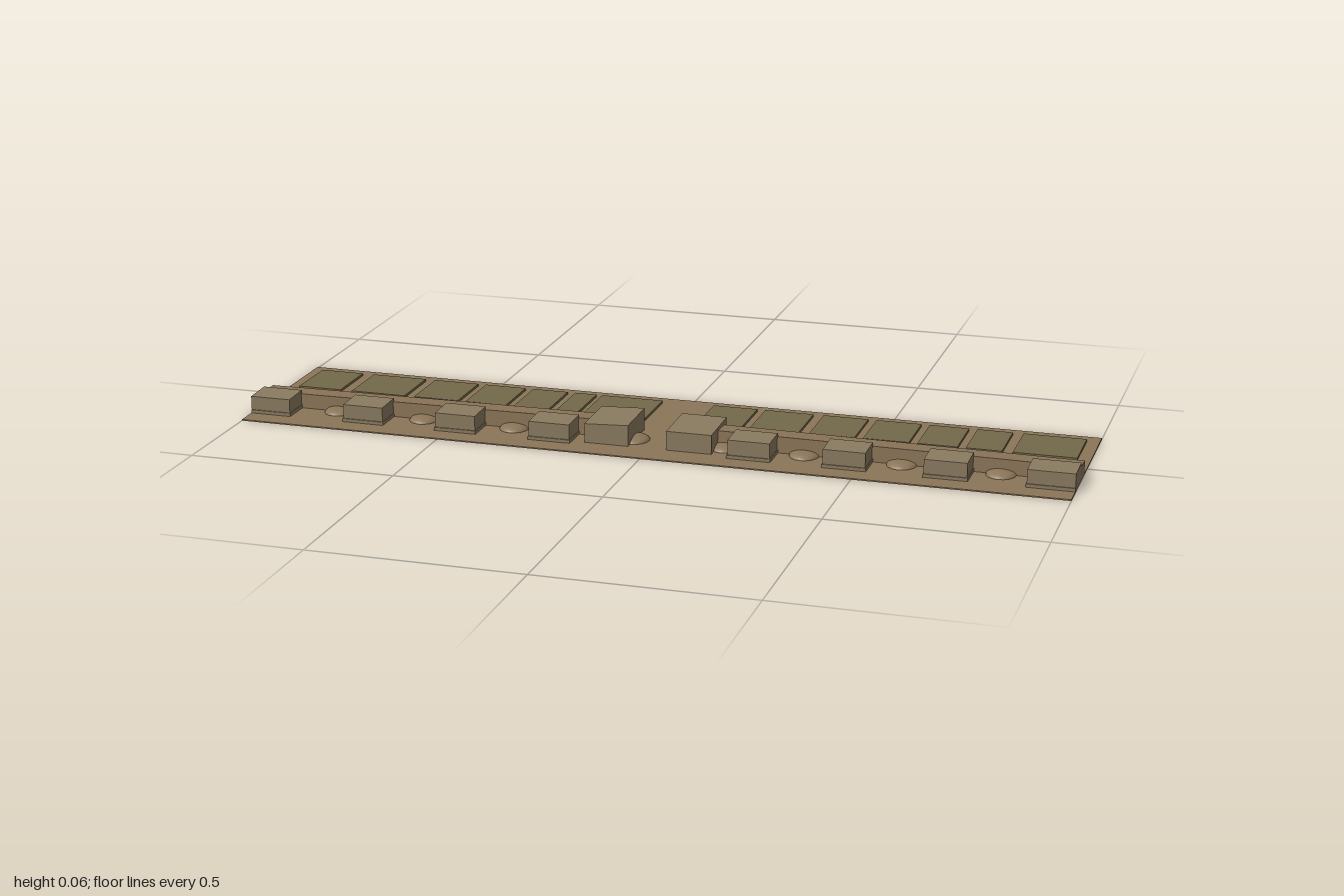
import * as THREE from 'three';

const earth = new THREE.MeshStandardMaterial({ color: 0x8b7558 });
const soil = new THREE.MeshStandardMaterial({ color: 0x73684a });
const stone = new THREE.MeshStandardMaterial({ color: 0x8a7a60, flatShading: true });

// Box given by its limits; top(x, z) sets the height of the upper corners
function block(name, x0, x1, y0, z0, z1, top, material, segments = 1) {
  const g = new THREE.BoxGeometry(x1 - x0, 1, z1 - z0, segments, 1, 1);
  g.translate((x0 + x1) / 2, 0, (z0 + z1) / 2);
  const p = g.attributes.position;
  for (let i = 0; i < p.count; i++) {
    p.setY(i, p.getY(i) > 0 ? top(p.getX(i), p.getZ(i)) : y0);
  }
  g.computeVertexNormals();
  const mesh = new THREE.Mesh(g, material);
  mesh.name = name;
  return mesh;
}

export function createModel() {
  const model = new THREE.Group();
  model.name = 'walledGround';

  // Thin ground slab
  model.add(block('ground', -1, 1, 0, -0.227, 0.227, () => 0.003, earth));

  // Row of low beds behind the wall
  const beds = [
    [-0.97, -0.86], [-0.83, -0.69], [-0.665, -0.55], [-0.53, -0.425], [-0.405, -0.315], [-0.295, -0.25 + 0.01], [-0.225, -0.07],
    [0.06, 0.17], [0.19, 0.31], [0.335, 0.445], [0.465, 0.575], [0.595, 0.69], [0.71, 0.795], [0.82, 0.97],
  ];
  for (const [a, b] of beds) {
    model.add(block('bed', a, b, 0.001, -0.19, -0.045, () => 0.009, soil));
  }

  // Two lengths of wall, rising slightly toward the central gate
  const wallTop = (x, z) => 0.036 + 0.007 * (1 - Math.abs(x)) + (z - 0.07) * 0.06;
  model.add(block('leftWall', 0.06, 1, 0.001, 0.042, 0.1, wallTop, earth, 24));
  model.add(block('rightWall', -1, -0.06, 0.001, 0.042, 0.1, wallTop, earth, 24));

  // Projecting bastions, each on a slightly wider plinth
  const bastions = [
    [-1, -0.9], [-0.76, -0.66], [-0.525, -0.425], [-0.29, -0.19],
    [0.195, 0.295], [0.42, 0.52], [0.655, 0.755], [0.89, 1],
  ];
  for (const [a, b] of bastions) {
    const rise = 0.044 + 0.004 * (1 - Math.abs(a + b) / 2);
    model.add(block('bastion', a, b, 0.001, 0.095, 0.17,
      (x, z) => rise + (0.17 - z) * 0.03, stone));
    model.add(block('bastionPlinth', Math.max(a - 0.002, -1), Math.min(b + 0.002, 1),
      0.001, 0.095, 0.173, () => 0.011, stone));
  }

  // Large gate towers with sloping tops
  model.add(block('rightGateTower', -0.157, -0.05, 0.001, 0.024, 0.155,
    (x, z) => 0.049 + (x + 0.157) * 0.045 + (0.155 - z) * 0.025, stone));
  model.add(block('leftGateTower', 0.043, 0.152, 0.001, 0.024, 0.155,
    (x, z) => 0.049 + (0.155 - z) * 0.03, stone));

  // Low rounded mounds at the foot of the wall
  for (const x of [-0.8, -0.58, -0.35, -0.05, 0.17, 0.36, 0.59, 0.82]) {
    const g = new THREE.SphereGeometry(1, 16, 6, 0, Math.PI * 2, 0, Math.PI / 2);
    g.scale(0.036, 0.014, 0.04);
    const mound = new THREE.Mesh(g, earth);
    mound.name = 'mound';
    mound.position.set(x, 0.002, 0.1);
    model.add(mound);
  }
  return model;
}
